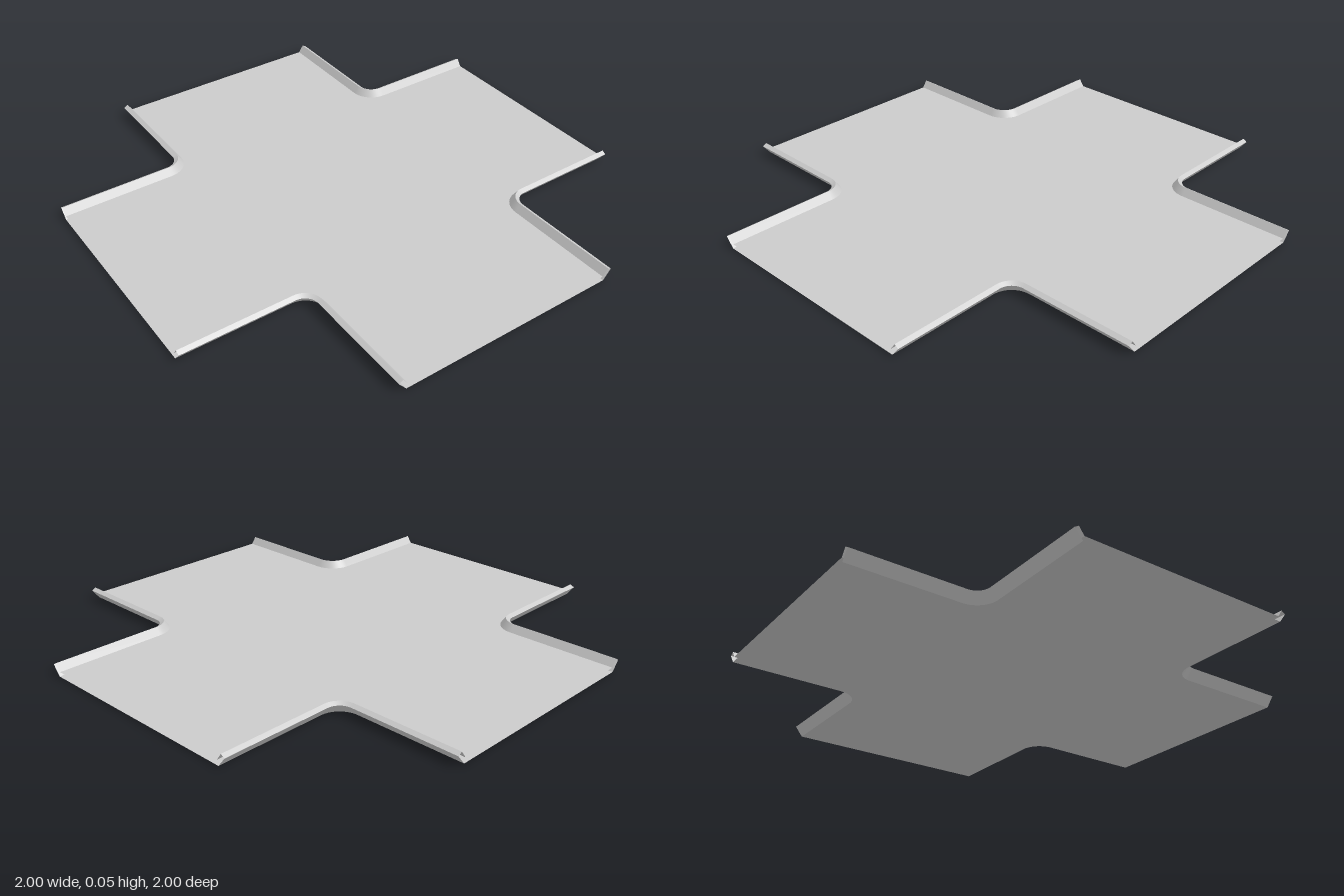
import * as THREE from 'three';

const FILLET = 0.54; // centre of each corner fillet, in x and z
const STEPS = 10;
const FLOOR = 0.02;

// Rim cross-section as [distance from arm axis, height]: bottom, outer lip, ridge, floor edge
const PROFILE = [[0.452, 0], [0.484, 0.04], [0.467, 0.05], [0.446, FLOOR]];

// Edge line of one inner corner at distance d from both arm axes
function cornerPath(d) {
  const r = FILLET - d;
  const pts = [[d, 1]];
  for (let i = 0; i <= STEPS; i++) {
    const a = Math.PI + (i / STEPS) * Math.PI / 2;
    pts.push([FILLET + r * Math.cos(a), FILLET + r * Math.sin(a)]);
  }
  pts.push([1, d]);
  return pts;
}

// Ruled strip between two points of the rim profile, swept along the corner
function rimStrip([d0, y0], [d1, y1]) {
  const a = cornerPath(d0), b = cornerPath(d1);
  const pos = [], index = [];
  a.forEach(([x, z], i) => {
    pos.push(x, y0, z, b[i][0], y1, b[i][1]);
    if (i < a.length - 1) {
      const k = i * 2;
      index.push(k, k + 2, k + 1, k + 1, k + 2, k + 3);
    }
  });
  const geo = new THREE.BufferGeometry();
  geo.setAttribute('position', new THREE.Float32BufferAttribute(pos, 3));
  geo.setIndex(index);
  geo.computeVertexNormals();
  return geo;
}

// Flat cross-shaped sheet with rounded inner corners
function crossSheet(d) {
  const corner = cornerPath(d).reverse().map(([x, y]) => new THREE.Vector2(x, y));
  const outline = [];
  const origin = new THREE.Vector2();
  for (let k = 0; k < 4; k++) {
    corner.forEach((p) => outline.push(p.clone().rotateAround(origin, k * Math.PI / 2)));
  }
  return new THREE.ShapeGeometry(new THREE.Shape(outline));
}

export function createModel() {
  const group = new THREE.Group();
  group.name = 'crossTray';
  const material = new THREE.MeshStandardMaterial({ color: 0xcccccc, side: THREE.DoubleSide });

  const add = (geo, name, parent = group) => {
    const mesh = new THREE.Mesh(geo, material);
    mesh.name = name;
    parent.add(mesh);
    return mesh;
  };

  // Upper floor and underside, open at the four arm ends
  add(crossSheet(PROFILE[3][0]).rotateX(-Math.PI / 2), 'floor').position.y = FLOOR;
  add(crossSheet(PROFILE[0][0]).rotateX(Math.PI / 2), 'underside');

  // Flared hollow rim around each of the four inner corners
  const names = ['outerWall', 'rimBevel', 'innerWall'];
  const strips = names.map((_, i) => rimStrip(PROFILE[i], PROFILE[i + 1]));
  for (let k = 0; k < 4; k++) {
    const rim = new THREE.Group();
    rim.name = 'cornerRim' + (k + 1);
    rim.rotation.y = k * Math.PI / 2;
    strips.forEach((geo, i) => add(geo, names[i], rim));
    group.add(rim);
  }
  return group;
}
